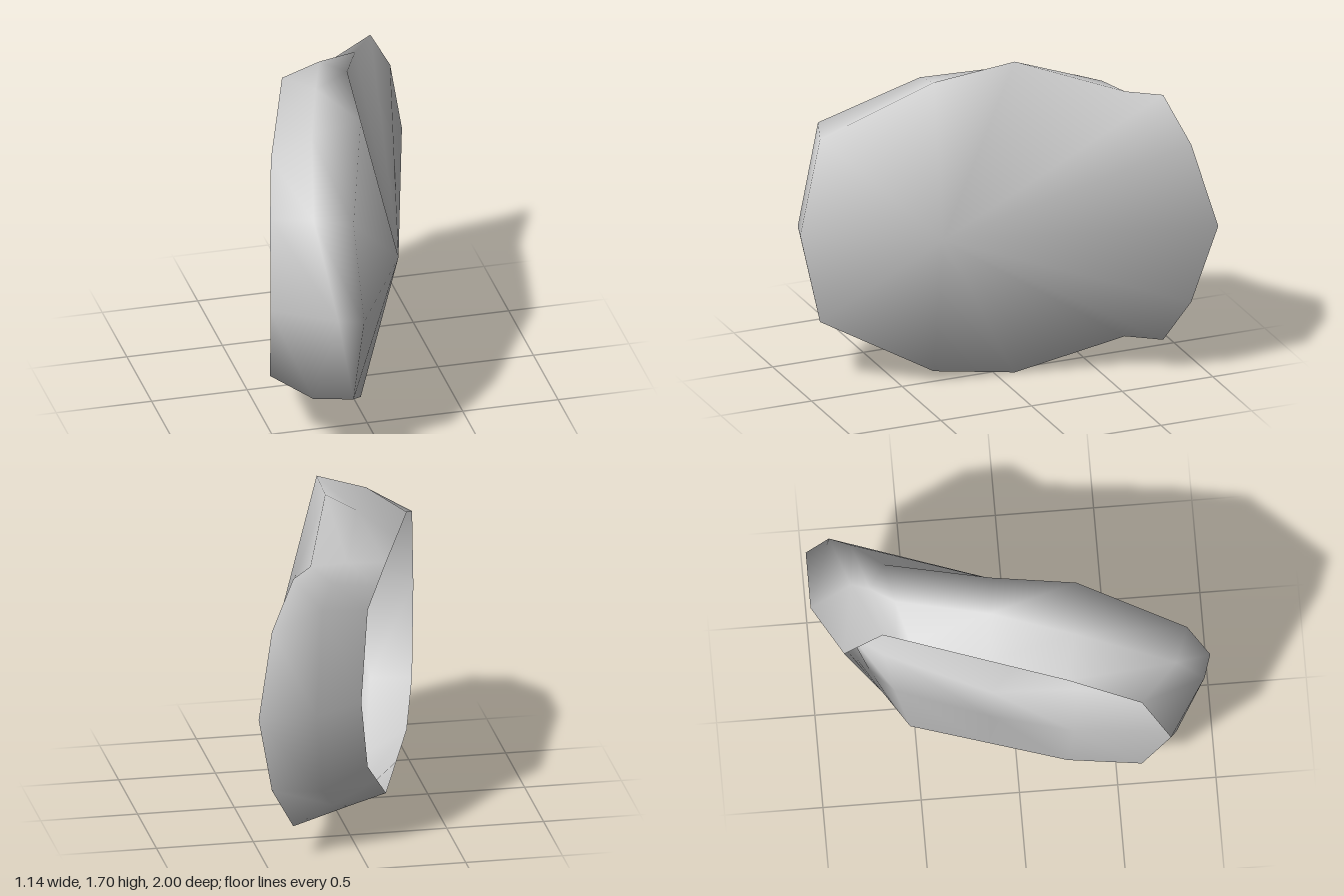
import * as THREE from 'three';

const HEIGHT = 1.7;

// Cross-sections of the wall from front to back along the upper half:
// [edge of the domed side, middle of the wall, rim of the open side]
const UPPER = [
  [[-0.145, 0.85, 1.0], [-0.27, 0.85, 0.96], [-0.575, 0.85, 0.765]],
  [[-0.17, 1.35, 0.88], [-0.36, 1.36, 0.81], [-0.54, 1.3, 0.62]],
  [[0.01, 1.64, 0.33], [-0.24, 1.57, 0.3], [-0.44, 1.44, 0.25]],
  [[0.05, 1.7, -0.1], [-0.11, 1.61, -0.12], [-0.31, 1.457, -0.14]],
  [[0.23, 1.52, -0.63], [0.03, 1.51, -0.59], [-0.18, 1.475, -0.53]],
  [[0.35, 1.52, -0.79], [0.13, 1.45, -0.71], [-0.12, 1.375, -0.595]],
  [[0.48, 1.28, -0.89], [0.2, 1.34, -0.8], [-0.06, 1.275, -0.66]],
  [[0.57, 0.85, -1.0], [0.27, 0.85, -1.0], [0.01, 0.85, -0.85]],
];
const APEX = [0.2, 0.85, 0.36];

export function createModel() {
  const group = new THREE.Group();
  group.name = 'shell';
  const grey = new THREE.MeshStandardMaterial({ color: 0xcccccc, side: THREE.DoubleSide });
  grey.name = 'light grey';

  // Mirror the inner sections downward to close the loop
  const lower = UPPER.slice(1, -1).reverse()
    .map((section) => section.map(([x, y, z]) => [x, HEIGHT - y, z]));
  const sections = [...UPPER, ...lower];
  const count = sections.length;
  const rings = UPPER[0].length;

  const positions = [...sections.flat(2), ...APEX];
  const apex = count * rings;
  const index = [];
  for (let i = 0; i < count; i++) {
    const a = i * rings;
    const b = ((i + 1) % count) * rings;
    // Domed side: fan around the apex
    index.push(apex, b, a);
    // Surrounding wall
    for (let r = 0; r < rings - 1; r++) {
      index.push(a + r, b + r, b + r + 1, a + r, b + r + 1, a + r + 1);
    }
  }

  const geometry = new THREE.BufferGeometry();
  geometry.setAttribute('position', new THREE.Float32BufferAttribute(positions, 3));
  geometry.setIndex(index);
  geometry.computeVertexNormals();

  const shell = new THREE.Mesh(geometry, grey);
  shell.name = 'openShell';
  group.add(shell);
  return group;
}
